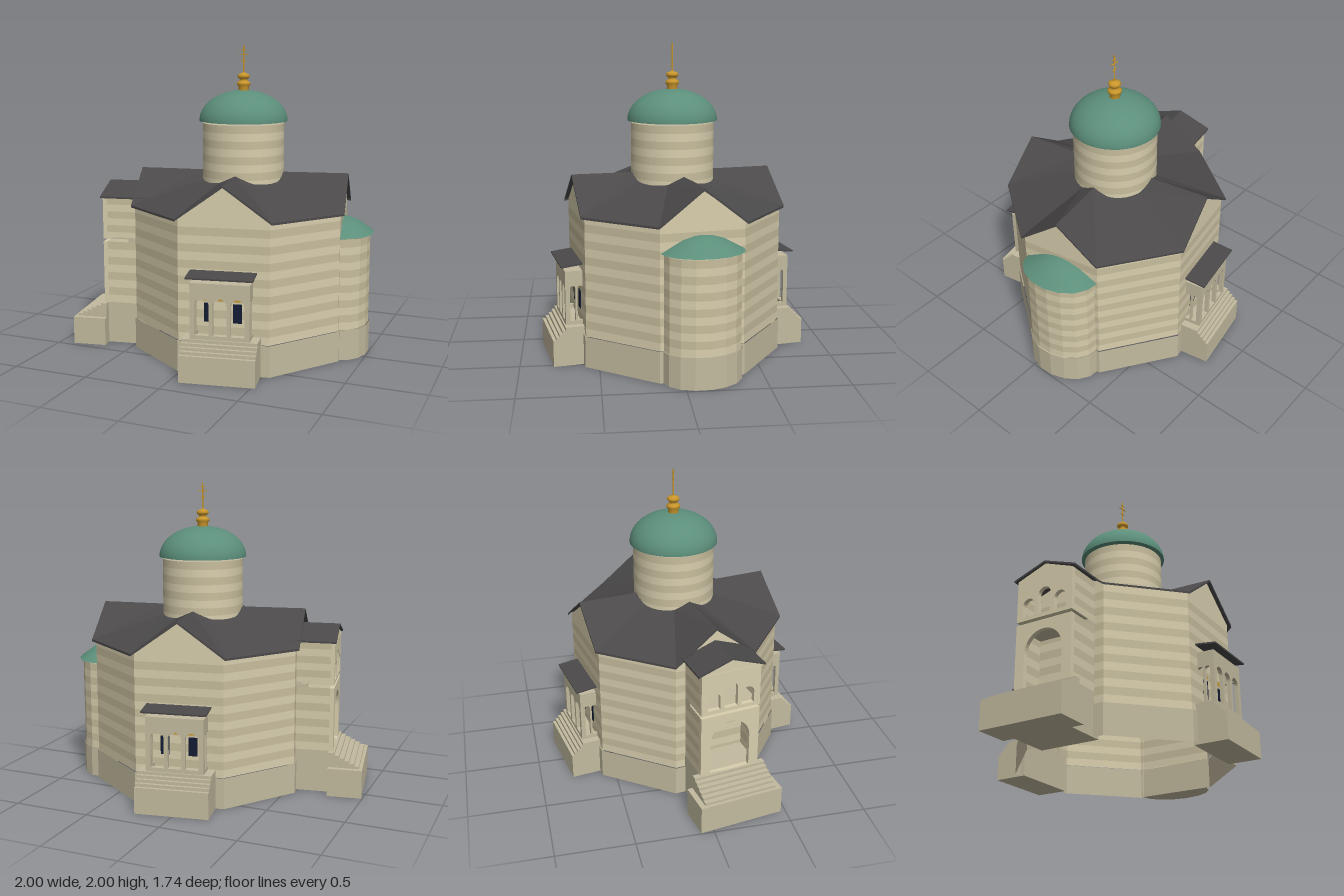
import * as THREE from 'three';

const mat = (color, flat = true) => new THREE.MeshStandardMaterial({ color, flatShading: flat, side: THREE.DoubleSide });
const M = {
  light: mat(0xd9cfae), dark: mat(0xc8be9d), lightSmooth: mat(0xd9cfae, false), darkSmooth: mat(0xc8be9d, false),
  stone: mat(0xc3bb9f), roof: mat(0x4b4949), green: mat(0x5c8f7b, false), gold: mat(0xc9962b, false), navy: mat(0x141c33),
};

function add(parent, name, geo, material, x = 0, y = 0, z = 0) {
  const m = new THREE.Mesh(geo, material);
  m.name = name;
  m.position.set(x, y, z);
  parent.add(m);
  return m;
}

// box given by its limits
function block(parent, name, x0, x1, y0, y1, z0, z1, material = M.stone) {
  return add(parent, name, new THREE.BoxGeometry(x1 - x0, y1 - y0, z1 - z0), material,
    (x0 + x1) / 2, (y0 + y1) / 2, (z0 + z1) / 2);
}

// geometry from a list of triangles / quads of [x, y, z] corners
function faces(list) {
  const p = [];
  for (const f of list) for (let i = 2; i < f.length; i++) p.push(...f[0], ...f[i - 1], ...f[i]);
  const g = new THREE.BufferGeometry();
  g.setAttribute('position', new THREE.Float32BufferAttribute(p, 3));
  g.computeVertexNormals();
  return g;
}

// upright wall sheet above a plan line of [x, z] points
const sheet = (pts, y0, y1) => faces(pts.slice(1).map(([bx, bz], i) => {
  const [ax, az] = pts[i];
  return [[ax, y0, az], [bx, y0, bz], [bx, y1, bz], [ax, y1, az]];
}));

// courses of alternating masonry
function courses(parent, name, y0, y1, make, a = M.light, b = M.dark) {
  const g = new THREE.Group();
  g.name = name;
  const n = Math.round((y1 - y0) / 0.05), h = (y1 - y0) / n;
  for (let i = 0; i < n; i++) add(g, 'course', make(y0 + i * h, y0 + (i + 1) * h), i % 2 ? b : a);
  parent.add(g);
}

// flat wall with round-headed openings [centre, width, bottom, springing]
function arcade(w, y0, y1, depth, arches) {
  const s = new THREE.Shape([[-w / 2, y0], [w / 2, y0], [w / 2, y1], [-w / 2, y1]].map(p => new THREE.Vector2(...p)));
  for (const [c, aw, b, t] of arches) {
    const h = new THREE.Path();
    h.moveTo(c - aw / 2, b);
    h.lineTo(c + aw / 2, b);
    h.lineTo(c + aw / 2, t);
    h.absarc(c, t, aw / 2, 0, Math.PI, false);
    h.lineTo(c - aw / 2, b);
    s.holes.push(h);
  }
  return new THREE.ExtrudeGeometry(s, { depth, bevelEnabled: false, curveSegments: 10 });
}

// eight-cornered plan, nearly regular, grown by o
const octagon = o => {
  const a = 0.67 + o, b = 0.265 + o * 0.4, c = 0.285 + o * 0.6, d = 0.64 + o;
  return [[a, -b], [a, b], [c, d], [-c, d], [-a, b], [-a, -b], [-c, -d], [c, -d], [a, -b]];
};

function mainBody(g) {
  const plan = octagon(0);
  add(g, 'plinth', sheet(octagon(0.008), 0, 0.2), M.stone);
  courses(g, 'mainWalls', 0.2, 0.97, (a, b) => sheet(plan, a, b));
  const eave = octagon(0.025), rim = [], gables = [];
  for (let i = 0; i < 8; i++) {
    const [x, z] = eave[i];
    rim.push([x, 0.967, z]);
    if (i % 2 === 0) {
      // a gable rises on every second side
      const [p, q, e] = [plan[i], plan[i + 1], eave[i + 1]];
      rim.push([(x + e[0]) / 2, 1.182, (z + e[1]) / 2]);
      gables.push([[p[0], 0.97, p[1]], [q[0], 0.97, q[1]], [(p[0] + q[0]) / 2, 1.165, (p[1] + q[1]) / 2]]);
    }
  }
  add(g, 'gableWalls', faces(gables), M.light);
  const inner = rim.map(([x, y, z]) => {
    const k = 0.265 / Math.hypot(x, z);
    return [x * k, y > 1 ? 1.18 : 1.13, z * k];
  });
  const quads = [];
  rim.forEach((p, i) => {
    const j = (i + 1) % rim.length, q = rim[j];
    quads.push([p, inner[i], inner[j], q]);
    quads.push([p, q, [q[0], q[1] - 0.014, q[2]], [p[0], p[1] - 0.014, p[2]]]);
  });
  add(g, 'mainRoof', faces(quads), M.roof);
}

function tower(g) {
  courses(g, 'drum', 1.1, 1.5, (a, b) =>
    new THREE.CylinderGeometry(0.268, 0.268, b - a, 40, 1, true).translate(0, (a + b) / 2, 0), M.lightSmooth, M.darkSmooth);
  add(g, 'drumTop', new THREE.CircleGeometry(0.268, 40).rotateX(-Math.PI / 2), M.stone, 0, 1.5);
  add(g, 'dome', new THREE.SphereGeometry(0.29, 40, 14, 0, Math.PI * 2, 0, Math.PI / 2).scale(1, 0.69, 1), M.green, 0, 1.512);
  add(g, 'domeUnderside', new THREE.CircleGeometry(0.29, 40).rotateX(Math.PI / 2), M.green, 0, 1.512);
  const profile = [[0.034, 1.7], [0.034, 1.735], [0.044, 1.745], [0.044, 1.76], [0.03, 1.77], [0.022, 1.78],
    [0.036, 1.79], [0.041, 1.802], [0.034, 1.815], [0.012, 1.822], [0.004, 1.83], [0.004, 2], [0, 2]];
  add(g, 'finial', new THREE.LatheGeometry(profile.map(p => new THREE.Vector2(...p)), 20), M.gold);
  const cross = new THREE.Group();
  cross.name = 'cross';
  cross.rotation.y = -g.rotation.y;
  for (const [y, w, tilt] of [[1.97, 0.03, 0], [1.942, 0.058, 0], [1.9, 0.03, -0.4]])
    add(cross, 'crossBar', new THREE.BoxGeometry(w, 0.006, 0.006), M.gold, 0, y).rotation.z = tilt;
  g.add(cross);
}

function apse(g) {
  const arc = (r, d) => Array.from({ length: 9 }, (_, i) => {
    const t = -Math.PI / 2 + Math.PI * i / 8;
    return [0.665 + Math.cos(t) * d, Math.sin(t) * r];
  });
  add(g, 'apsePlinth', sheet(arc(0.25, 0.187), 0, 0.2), M.stone);
  courses(g, 'apseWall', 0.2, 0.79, (a, b) => sheet(arc(0.243, 0.18), a, b));
  add(g, 'apseFloor', faces([arc(0.25, 0.187).map(([x, z]) => [x, 0, z])]), M.stone);
  const cap = [[0.262, 0], [0.2, 0.035], [0.13, 0.073], [0.06, 0.094], [0, 0.1]].map(p => new THREE.Vector2(...p));
  add(g, 'apseRoof', new THREE.LatheGeometry(cap, 8, 0, Math.PI).scale(0.78, 1, 1), M.green, 0.665, 0.8);
}

// small open porch facing +z
function sidePorch() {
  const p = new THREE.Group();
  p.name = 'sidePorch';
  for (let i = 0; i < 5; i++) block(p, 'step', -0.235, 0.235, i ? 0.15 + 0.02 * i : 0, 0.17 + 0.02 * i, 0.62, 0.84 - 0.02 * i);
  add(p, 'porchFront', arcade(0.37, 0.25, 0.6, 0.025, [-0.11, 0, 0.11].map(c => [c, 0.085, 0.275, 0.465])), M.stone, 0, 0, 0.725);
  for (const s of [-1, 1])
    add(p, 'porchSide', arcade(0.11, 0.25, 0.6, 0.025, [[-0.024, 0.035, 0.275, 0.485], [0.024, 0.035, 0.275, 0.485]]),
      M.stone, s * 0.1725 - 0.0125, 0, 0.68).rotation.y = Math.PI / 2;
  block(p, 'porchCeiling', -0.185, 0.185, 0.585, 0.6, 0.63, 0.74);
  add(p, 'porchRoof', new THREE.BoxGeometry(0.415, 0.01, 0.165), M.roof, 0, 0.642, 0.695).rotation.x = 0.12;
  for (const c of [-0.09, 0, 0.09]) {
    if (c) block(p, 'window', c - 0.028, c + 0.028, 0.33, 0.45, 0.635, 0.645, M.navy);
    add(p, 'lunette', new THREE.CircleGeometry(0.03, 12, 0, Math.PI), M.gold, c, 0.465, 0.646);
  }
  return p;
}

// two-storey entrance with a wide stair, facing +z
function entrance() {
  const p = new THREE.Group();
  p.name = 'entrance';
  block(p, 'stairBase', -0.28, 0.28, 0, 0.185, 0.89, 1.112);
  for (let i = 0; i < 6; i++)
    block(p, 'step', -0.245, 0.245, 0.185 + i * 0.016, 0.201 + i * 0.016, 0.89, 1.09 - i * 0.032);
  block(p, 'entranceBase', -0.2, 0.2, 0, 0.28, 0.62, 0.915);
  add(p, 'lowerFront', arcade(0.4, 0.28, 0.7, 0.03, [[0, 0.27, 0.281, 0.505]]), M.light, 0, 0, 0.885);
  add(p, 'upperFront', arcade(0.4, 0.72, 1, 0.03,
    [[-0.115, 0.085, 0.745, 0.82], [0, 0.09, 0.745, 0.87], [0.115, 0.085, 0.745, 0.82]]), M.light, 0, 0, 0.885);
  for (const s of [-1, 1]) {
    const line = [[s * 0.2, 0.63], [s * 0.2, 0.89]];
    courses(p, 'lowerSide', 0.28, 0.7, (a, b) => sheet(line, a, b));
    courses(p, 'upperSide', 0.72, 1, (a, b) => sheet(line, a, b));
  }
  block(p, 'lowerCeiling', -0.2, 0.2, 0.69, 0.7, 0.63, 0.89);
  block(p, 'upperFloor', -0.2, 0.2, 0.72, 0.73, 0.63, 0.89);
  block(p, 'floorLink', -0.2, 0.2, 0.7, 0.72, 0.63, 0.74);
  add(p, 'entranceGable', faces([[[-0.2, 1, 0.912], [0.2, 1, 0.912], [0, 1.075, 0.912]]]), M.light);
  // gabled roof with a thin edge
  const s = new THREE.Shape([[-0.225, 0.998], [0, 1.078], [0.225, 0.998], [0.225, 1.01], [0, 1.09], [-0.225, 1.01]]
    .map(q => new THREE.Vector2(...q)));
  add(p, 'entranceRoof', new THREE.ExtrudeGeometry(s, { depth: 0.325, bevelEnabled: false }), M.roof, 0, 0, 0.6);
  return p;
}

export function createModel() {
  const root = new THREE.Group();
  root.name = 'church';
  const g = new THREE.Group();
  g.name = 'building';
  g.position.x = 0.15;
  g.rotation.y = THREE.MathUtils.degToRad(10);
  root.add(g);
  mainBody(g);
  tower(g);
  apse(g);
  for (const turn of [0, Math.PI]) {
    const porch = sidePorch();
    porch.rotation.y = turn;
    g.add(porch);
  }
  const west = entrance();
  west.rotation.y = -Math.PI / 2;
  g.add(west);
  return root;
}
